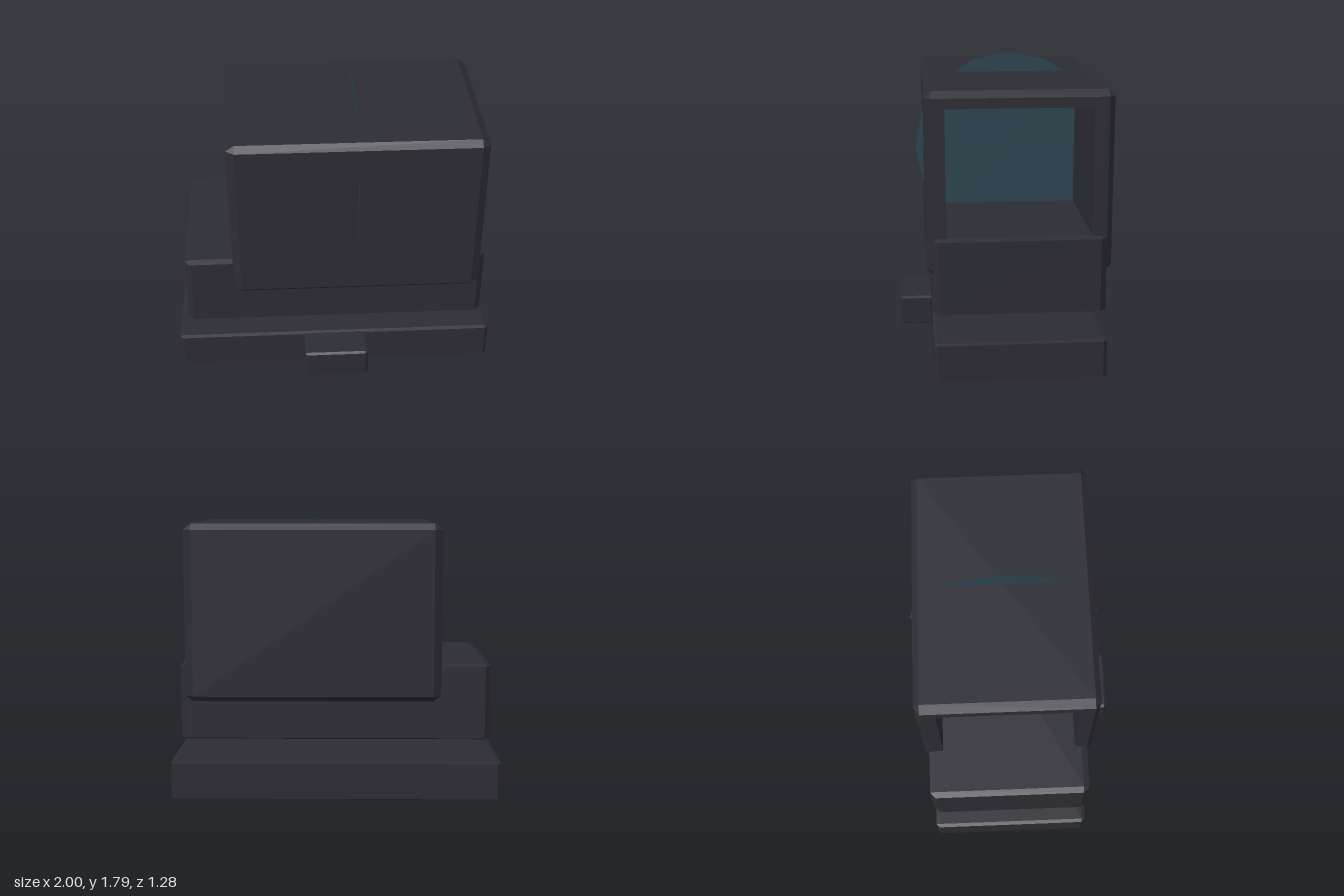
import * as THREE from 'three';

const housing = new THREE.MeshStandardMaterial({ color: 0x2c2c34 });
housing.name = 'charcoal housing';
const glass = new THREE.MeshStandardMaterial({ color: 0x2c4550, side: THREE.DoubleSide });
glass.name = 'teal glass';

// Eight-point ring in the y-z plane: a rectangle with its corners cut
function ring(x, [y0, y1], [z0, z1], cy = 0, cz = 0) {
  return [
    [x, y1, z0 + cz], [x, y1, z1 - cz], [x, y1 - cy, z1], [x, y0 + cy, z1],
    [x, y0, z1 - cz], [x, y0, z0 + cz], [x, y0 + cy, z0], [x, y1 - cy, z0],
  ];
}

// Bevelled block along x; an optional rectangular hole runs right through it
function bevelBlock(name, [x0, x1], y, z, [bx, by, bz], hole) {
  const inY = [y[0] + by, y[1] - by], inZ = [z[0] + bz, z[1] - bz];
  const midY = (y[0] + y[1]) / 2, midZ = (z[0] + z[1]) / 2;
  const [hy, hz] = hole ?? [[midY, midY], [midZ, midZ]];
  const rings = [
    ring(x0, hy, hz),
    ring(x0, inY, inZ),
    ring(x0 + bx, y, z, by, bz),
    ring(x1 - bx, y, z, by, bz),
    ring(x1, inY, inZ),
    ring(x1, hy, hz),
  ];
  if (hole) rings.push(rings[0]);
  const pos = [];
  for (let i = 0; i < rings.length - 1; i++) {
    const a = rings[i], b = rings[i + 1];
    for (let j = 0; j < 8; j++) {
      const k = (j + 1) % 8;
      for (const t of [[a[j], a[k], b[j]], [a[k], b[k], b[j]]]) {
        // Skip triangles that collapse at doubled corners
        const [p, q, r] = t.map((v) => new THREE.Vector3(...v));
        if (q.sub(p).cross(r.sub(p)).length() > 1e-9) pos.push(...t.flat());
      }
    }
  }
  const geometry = new THREE.BufferGeometry();
  geometry.setAttribute('position', new THREE.Float32BufferAttribute(pos, 3));
  geometry.computeVertexNormals();
  const mesh = new THREE.Mesh(geometry, housing);
  mesh.name = name;
  return mesh;
}

export function createModel() {
  const group = new THREE.Group();
  group.name = 'windowSight';

  // Mounting plate with its clamp knob, and the body floating above it
  group.add(bevelBlock('mountBase', [-1, 1], [0, 0.234], [-0.557, 0.44], [0.022, 0.008, 0.022]));
  group.add(bevelBlock('clampKnob', [-0.2, 0.2], [0.05, 0.234], [0.43, 0.64], [0.018, 0.01, 0.014]));
  group.add(bevelBlock('lowerBody', [-0.93, 0.93], [0.372, 0.834], [-0.557, 0.44], [0.036, 0.014, 0.036]));

  // Open-ended hood around the window
  group.add(bevelBlock('hood', [-0.632, 0.898], [0.607, 1.668], [-0.591, 0.475],
    [0.05, 0.036, 0.036], [[0.71, 1.573], [-0.47, 0.362]]));

  // Flat lens disc, whose rim pokes out through the hood walls
  const lens = new THREE.Mesh(new THREE.CircleGeometry(0.583, 16), glass);
  lens.name = 'lens';
  lens.rotation.y = Math.PI / 2;
  lens.position.set(0.135, 1.203, -0.058);
  group.add(lens);

  return group;
}
